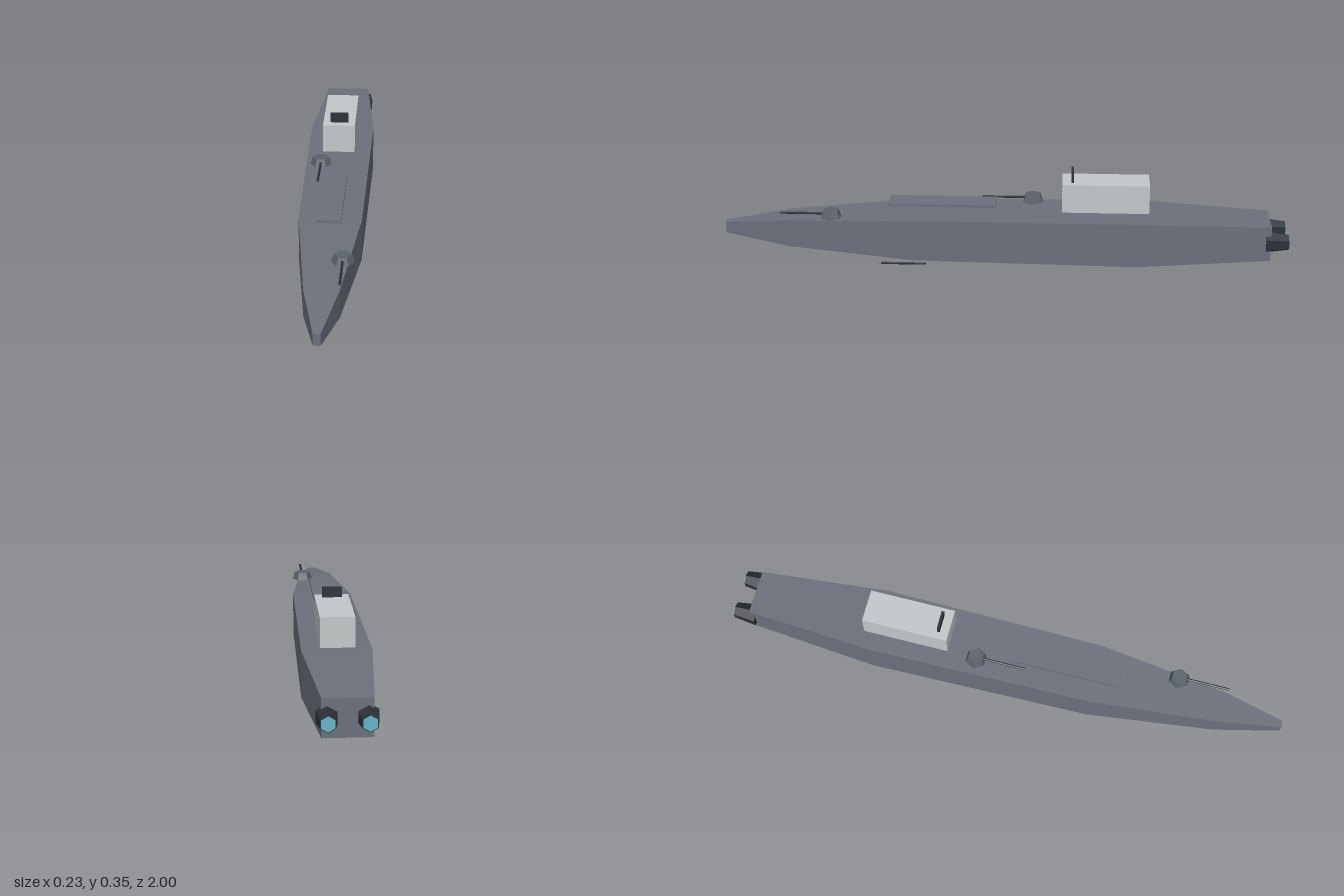
import * as THREE from 'three';

const mat = (name, color) => {
  const m = new THREE.MeshStandardMaterial({ color, flatShading: true });
  m.name = name;
  return m;
};

export function createModel() {
  const ship = new THREE.Group();
  ship.name = 'warship';
  const hullGrey = mat('hullGrey', 0x6b707c);
  const turretGrey = mat('turretGrey', 0x5c626c);
  const paleGrey = mat('paleGrey', 0xc4c8ca);
  const darkGrey = mat('darkGrey', 0x2c3138);
  const glowBlue = mat('glowBlue', 0x66b4c8);

  const add = (name, geometry, material, x, y, z, parent = ship) => {
    const mesh = new THREE.Mesh(geometry, material);
    mesh.name = name;
    mesh.position.set(x, y, z);
    parent.add(mesh);
    return mesh;
  };
  const rod = (r, length) => new THREE.CylinderGeometry(r, r, length, 6).rotateX(Math.PI / 2);

  // Hull: rectangular sections [z, half width, half height] from stern to bow
  const sections = [
    [-0.935, 0.08, 0.063], [-0.47, 0.117, 0.0805], [0.32, 0.107, 0.0745],
    [0.77, 0.058, 0.049], [1, 0.012, 0.02],
  ];
  const points = [];
  for (const [z, w, h] of sections) points.push(w, h, z, -w, h, z, -w, -h, z, w, -h, z);
  const faces = [0, 2, 1, 0, 3, 2];
  for (let s = 0; s < sections.length - 1; s++) {
    for (let i = 0; i < 4; i++) {
      const a = s * 4 + i, b = s * 4 + (i + 1) % 4;
      faces.push(a, b, b + 4, a, b + 4, a + 4);
    }
  }
  const e = (sections.length - 1) * 4;
  faces.push(e, e + 1, e + 2, e, e + 2, e + 3);
  const indexed = new THREE.BufferGeometry();
  indexed.setAttribute('position', new THREE.Float32BufferAttribute(points, 3));
  indexed.setIndex(faces);
  const hull = indexed.toNonIndexed();
  hull.computeVertexNormals();
  add('hull', hull, hullGrey, 0, 0.1125, 0);

  // Deck plate, bridge block and sensor panel
  add('deckPlate', new THREE.BoxGeometry(0.084, 0.01, 0.38), hullGrey, 0, 0.221, 0.22);
  add('bridge', new THREE.BoxGeometry(0.116, 0.103, 0.305), paleGrey, 0, 0.2615, -0.355);
  add('sensorPanel', new THREE.BoxGeometry(0.066, 0.035, 0.009), darkGrey, 0, 0.3305, -0.238);

  // Deck turrets with forward barrels
  for (const [x, y, z] of [[0.058, 0.192, 0.612], [-0.058, 0.2205, -0.098]]) {
    const turret = new THREE.Group();
    turret.name = 'turret';
    turret.position.set(x, y, z);
    ship.add(turret);
    const base = new THREE.CylinderGeometry(0.029, 0.0385, 0.027, 6).rotateY(Math.PI / 6);
    add('turretBase', base, turretGrey, 0, 0, 0, turret);
    add('barrel', rod(0.0045, 0.16), darkGrey, 0, 0, 0.1, turret);
  }

  // Slim rods below the keel
  add('frontLowerRod', rod(0.0045, 0.16), darkGrey, 0.058, 0.0045, 0.36);
  add('rearLowerRod', rod(0.0045, 0.16), darkGrey, -0.058, 0.0045, -0.35);

  // Engine nozzles with glowing ends
  for (const x of [-0.063, 0.063]) {
    const nozzle = new THREE.CylinderGeometry(0.039, 0.028, 0.08, 6).rotateX(Math.PI / 2);
    add('engineNozzle', nozzle, darkGrey, x, 0.114, -0.958);
    const glow = new THREE.CylinderGeometry(0.025, 0.025, 0.004, 6).rotateX(Math.PI / 2);
    add('engineGlow', glow, glowBlue, x, 0.114, -0.998);
  }
  return ship;
}
